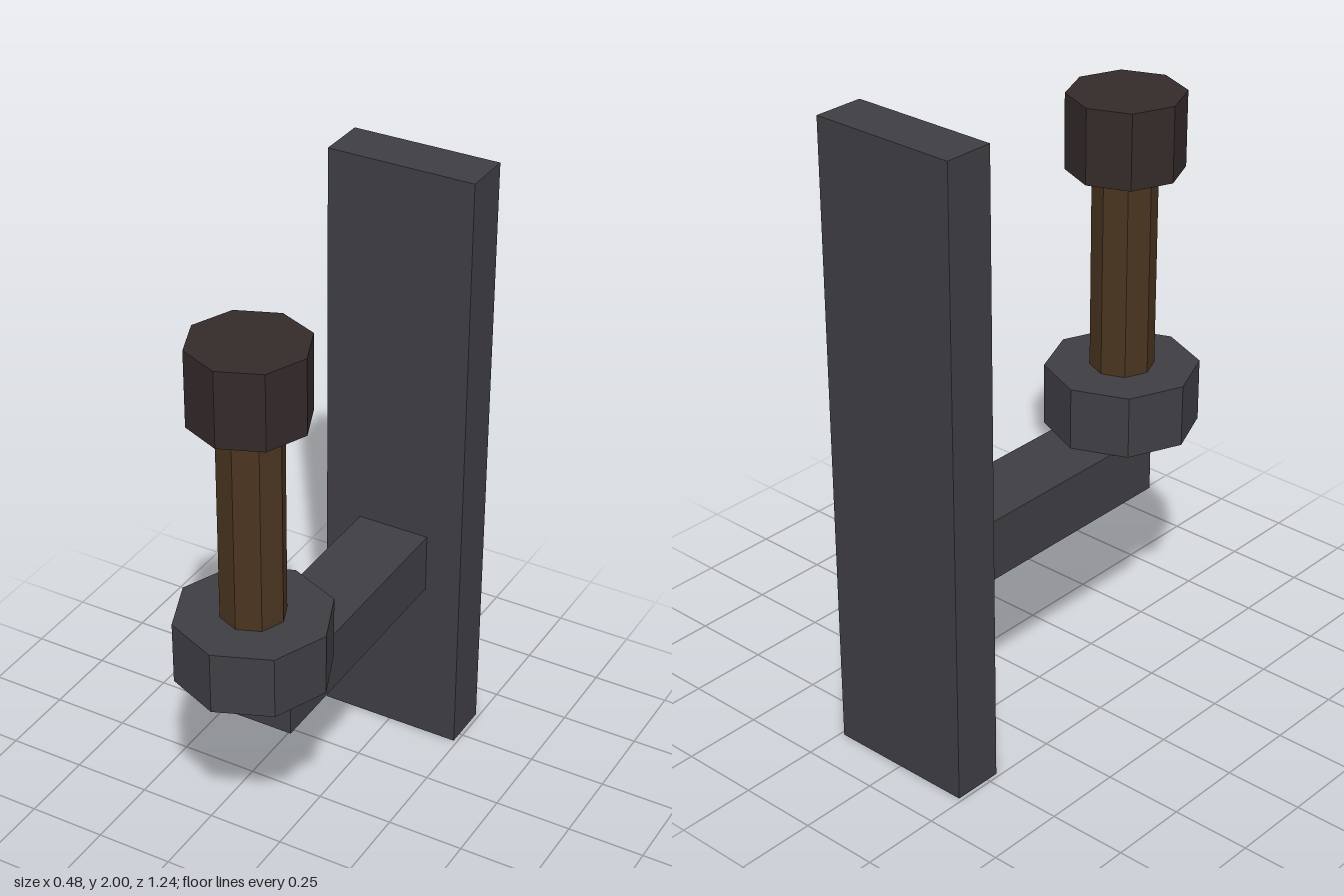
import * as THREE from 'three';

export function createModel() {
  const model = new THREE.Group();
  model.name = 'wallTorch';

  const material = (name, color) => {
    const m = new THREE.MeshStandardMaterial({ color });
    m.name = name;
    m.flatShading = true;
    return m;
  };
  const iron = material('darkIron', 0x3f3e43);
  const wood = material('brownWood', 0x4a3420);
  const char = material('charredWood', 0x342a2a);

  const add = (name, geometry, mat, y, z) => {
    const mesh = new THREE.Mesh(geometry, mat);
    mesh.name = name;
    mesh.position.set(0, y, z);
    model.add(mesh);
  };

  // Upright octagonal prism standing on the torch axis
  const torchZ = 0.38;
  const prism = (name, radius, bottom, top, mat) =>
    add(name, new THREE.CylinderGeometry(radius, radius, top - bottom, 8), mat, (bottom + top) / 2, torchZ);

  // Wall bracket
  add('backPlate', new THREE.BoxGeometry(0.476, 2, 0.16), iron, 1, -0.54);
  add('arm', new THREE.BoxGeometry(0.238, 0.196, 0.84), iron, 0.663, -0.04);

  // Torch held in its cup
  prism('cup', 0.238, 0.761, 0.96, iron);
  prism('handle', 0.099, 0.96, 1.603, wood);
  prism('torchHead', 0.179, 1.603, 1.84, char);

  return model;
}
